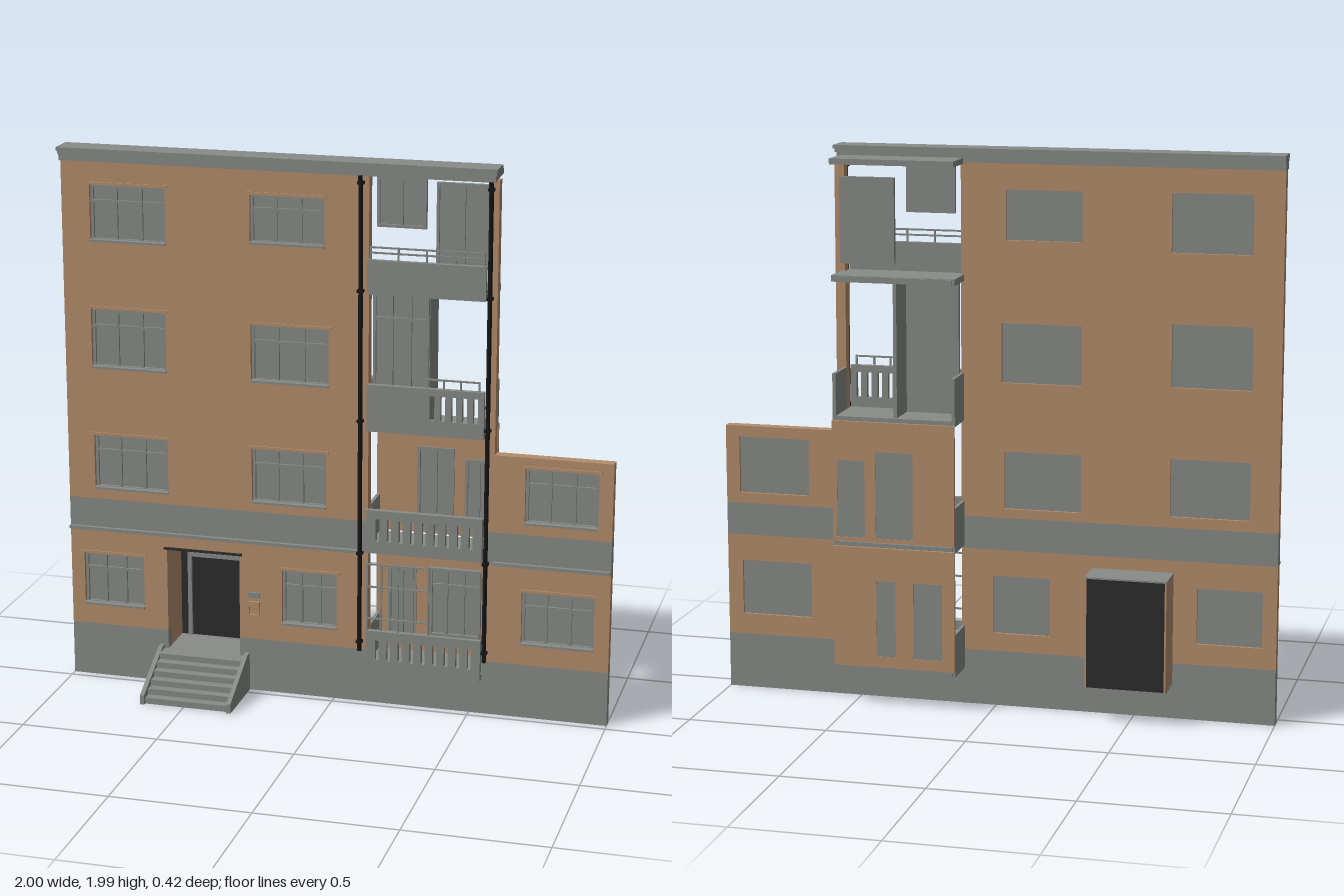
import * as THREE from 'three';

const material = (name, color, side = THREE.FrontSide) => {
  const m = new THREE.MeshStandardMaterial({ color, side });
  m.name = name;
  return m;
};

export function createModel() {
  const root = new THREE.Group();
  root.name = 'apartmentFacade';
  const brick = material('brick', 0xb58e6d);
  const grey = material('concreteGrey', 0x888c87);
  const dark = material('doorDark', 0x2d2d2d);
  const black = material('pipeBlack', 0x171717);

  const group = (name, parent = root) => {
    const g = new THREE.Group();
    g.name = name;
    parent.add(g);
    return g;
  };
  // Box given by its limits on each axis
  const box = (name, [x0, x1], [y0, y1], [z0, z1], mat, parent = root) => {
    const m = new THREE.Mesh(new THREE.BoxGeometry(x1 - x0, y1 - y0, z1 - z0), mat);
    m.position.set((x0 + x1) / 2, (y0 + y1) / 2, (z0 + z1) / 2);
    m.name = name;
    parent.add(m);
    return m;
  };
  const rect = (P, [x0, x1, y0, y1]) => {
    const p = new P();
    p.moveTo(x0, y0);
    p.lineTo(x1, y0);
    p.lineTo(x1, y1);
    p.lineTo(x0, y1);
    p.closePath();
    return p;
  };
  // Upright slab with rectangular holes, facing +z
  const slab = (name, area, holes, z0, z1, mat, parent = root) => {
    const s = rect(THREE.Shape, area);
    holes.forEach(h => s.holes.push(rect(THREE.Path, h)));
    const m = new THREE.Mesh(
      new THREE.ExtrudeGeometry(s, { depth: z1 - z0, bevelEnabled: false }), mat);
    m.position.z = z0;
    m.name = name;
    parent.add(m);
  };

  const BACK = -0.07, FRONT = -0.03, L = 0.125, R = 0.545;
  const door = [-0.63, -0.355];

  // Windows: x0, x1, y0, y1
  const mainWindows = [
    [-0.895, -0.615, 1.645, 1.85], [-0.305, -0.035, 1.67, 1.845],
    [-0.9, -0.62, 1.18, 1.4], [-0.305, -0.02, 1.17, 1.38],
    [-0.9, -0.62, 0.725, 0.93], [-0.305, -0.03, 0.72, 0.925]];
  const groundWindows = [[-0.95, -0.72, 0.275, 0.475], [-0.195, 0.01, 0.265, 0.475]];
  const wingWindows = [[0.69, 0.95, 0.725, 0.93], [0.685, 0.945, 0.275, 0.475]];

  // Walls, in horizontal bands
  const walls = group('walls');
  const wall = (name, area, mat, holes = []) => slab(name, area, holes, BACK, FRONT, mat, walls);
  wall('plinth', [-1, 1, 0, 0.13], grey);
  [[-1, door[0]], [door[1], L], [R, 1]].forEach(x => wall('plinthTop', [...x, 0.13, 0.2], grey));
  wall('groundWall', [-1, door[0], 0.2, 0.57], brick, [groundWindows[0]]);
  wall('overDoorWall', [...door, 0.52, 0.57], brick);
  wall('groundWall', [door[1], L, 0.2, 0.57], brick, [groundWindows[1]]);
  wall('wingGroundWall', [R, 1, 0.2, 0.57], brick, [wingWindows[1]]);
  wall('greyBand', [-1, L, 0.57, 0.687], grey);
  wall('wingGreyBand', [R, 1, 0.57, 0.687], grey);
  wall('upperWall', [-1, L, 0.687, 1.94], brick, mainWindows);
  wall('wingUpperWall', [0.58, 1, 0.687, 0.97], brick, [wingWindows[0]]);
  wall('pillar', [R, 0.58, 0.687, 1.94], brick);
  [[-1, 0.09], [0.58, 1]].forEach(x => box('stringCourse', x, [0.567, 0.579], [FRONT, -0.016], grey, walls));

  // Glazed panel with frame and mullions
  const glazed = (name, [x0, x1, y0, y1], z, cols, transom) => {
    const g = group(name);
    const t = 0.01, w = x1 - x0, h = y1 - y0;
    box('glass', [x0, x1], [y0, y1], [z - 0.006, z], grey, g);
    slab('frame', [x0, x1, y0, y1], [[x0 + t, x1 - t, y0 + t, y1 - t]], z, z + 0.01, grey, g);
    for (let i = 1; i < cols; i++) {
      const x = x0 + w * i / cols;
      box('mullion', [x - 0.005, x + 0.005], [y0 + t, y1 - t], [z, z + 0.009], grey, g);
    }
    if (transom) {
      const y = y0 + h * transom;
      box('transom', [x0 + t, x1 - t], [y - 0.005, y + 0.005], [z, z + 0.008], grey, g);
    }
    return g;
  };
  [...mainWindows, ...groundWindows, ...wingWindows].forEach(w => {
    const g = glazed('window', w, -0.054, 3, 0.7);
    box('sill', [w[0], w[1]], [w[2], w[2] + 0.008], [-0.044, -0.022], grey, g);
    box('lintel', [w[0] - 0.01, w[1] + 0.01], [w[3], w[3] + 0.01], [FRONT, -0.025], brick, g);
  });

  // Stepped cornice
  const cornice = group('cornice');
  box('corniceLower', [-1, 0.57], [1.935, 1.96], [-0.075, -0.012], grey, cornice);
  box('corniceMiddle', [-1, 0.575], [1.96, 1.972], [-0.08, -0.002], grey, cornice);
  box('corniceTop', [-1, 0.58], [1.972, 1.985], [-0.088, 0.012], grey, cornice);

  // Entrance recess
  const entry = group('entrance');
  box('recessBack', door, [0.13, 0.52], [-0.2, -0.19], dark, entry);
  [[door[0] - 0.006, door[0]], [door[1], door[1] + 0.006]].forEach(x =>
    box('recessSide', x, [0.13, 0.52], [-0.2, BACK], brick, entry));
  box('recessTop', [-0.637, -0.348], [0.52, 0.526], [-0.2, BACK], grey, entry);
  box('recessFloor', [-0.637, -0.348], [0.124, 0.13], [-0.2, BACK], grey, entry);
  box('doorHead', [-0.64, -0.345], [0.515, 0.523], [FRONT, -0.022], dark, entry);
  slab('doorFrame', [-0.602, -0.385, 0.13, 0.456], [[-0.587, -0.4, 0.131, 0.44]], -0.19, -0.18, grey, entry);
  slab('intercomFrame', [-0.322, -0.278, 0.29, 0.345], [[-0.316, -0.284, 0.296, 0.326]], FRONT, -0.02, brick, entry);
  box('intercomPlate', [-0.32, -0.28], [0.36, 0.38], [FRONT, -0.022], grey, entry);

  // Stairs with sloping cheeks
  const stairs = group('stairs');
  const steps = 6;
  for (let i = 0; i < steps; i++) {
    box('step', [-0.645, -0.335], [0, 0.13 - i * 0.0215], [FRONT, 0.03 + i * 0.034], grey, stairs);
  }
  const cheek = new THREE.Shape([[0.03, 0], [0.03, 0.145], [0, 0.142], [-0.212, 0.035], [-0.212, 0]]
    .map(p => new THREE.Vector2(...p)));
  const cheekGeo = new THREE.ExtrudeGeometry(cheek, { depth: 0.016, bevelEnabled: false });
  [-0.661, -0.335].forEach(x => {
    const m = new THREE.Mesh(cheekGeo, grey);
    m.rotation.y = Math.PI / 2;
    m.position.x = x;
    m.name = 'stairCheek';
    stairs.add(m);
  });

  // Balconies: parapet y0, y1, slot rows, side parapets
  const balconies = group('balconies');
  const slotRow = (n, x0, x1, w, y0, y1) => Array.from({ length: n }, (_, i) => {
    const x = x0 + (x1 - x0) * i / (n - 1);
    return [x - w / 2, x + w / 2, y0, y1];
  });
  [
    [0.13, 0.285, slotRow(9, 0.167, 0.505, 0.014, 0.175, 0.25), true],
    [0.58, 0.74, slotRow(9, 0.167, 0.505, 0.014, 0.625, 0.708), true],
    [1.03, 1.2, slotRow(5, 0.36, 0.515, 0.017, 1.085, 1.175), true],
    [1.523, 1.645, [], false],
  ].forEach(([y0, y1, slots, sides], i) => {
    const g = group('balcony' + (i + 1), balconies);
    slab('parapet', [L, R, y0, y1], slots, -0.02, 0, grey, g);
    box('floor', [L, R], [y0, y0 + 0.02], [-0.2, -0.02], grey, g);
    if (sides) [[0.115, 0.127], [0.545, 0.557]].forEach(x =>
      box('sideParapet', x, [y0, y1], [-0.197, BACK], grey, g));
    else box('floorEdge', [0.115, 0.557], [y0, y0 + 0.022], [-0.195, BACK], grey, g);
  });
  box('loggiaRoof', [0.115, 0.557], [1.93, 1.95], [-0.205, BACK], grey, balconies);

  // Loggia back walls with tall windows
  const backWalls = [
    [[0.115, 0.557, 0.15, 0.585], [[0.16, 0.265, 0.19, 0.465], [0.33, 0.4, 0.19, 0.465]]],
    [[0.115, 0.557, 0.605, 1.035], [[0.265, 0.4, 0.62, 0.93], [0.44, 0.54, 0.62, 0.895]]],
  ];
  backWalls.forEach(([area, holes]) => {
    slab('loggiaBackWall', area, holes, -0.21, -0.198, brick);
    holes.forEach(h => glazed('loggiaWindow', h, -0.202, 2, 0));
  });

  // Glazing panels on the balconies
  glazed('lowerGlazing', [0.355, 0.54, 0.285, 0.54], -0.025, 3, 0.75);
  glazed('thirdFloorGlazing', [0.135, 0.335, 1.05, 1.523], -0.06, 3, 0.8);
  box('thirdFloorScreen', [0.325, 0.337], [1.05, 1.523], [-0.19, -0.06], grey);
  glazed('topFrontGlazing', [0.15, 0.325, 1.755, 1.93], -0.05, 2, 0);
  glazed('topBackGlazing', [0.325, 0.52, 1.59, 1.89], -0.202, 2, 0);

  // Railings
  const railing = (name, xs, [y0, y1], rails) => {
    const g = group(name);
    const r = 0.003;
    xs.forEach(x => box('post', [x - r, x + r], [y0, y1], [-0.013, -0.007], grey, g));
    rails.forEach(y => box('rail', [xs[0], xs[xs.length - 1]], [y - r, y + r], [-0.013, -0.007], grey, g));
  };
  railing('lowerGrille', [0.128, 0.18, 0.24, 0.295, 0.352], [0.285, 0.54], [0.33, 0.45, 0.535]);
  railing('thirdFloorRailing', [0.342, 0.4, 0.46, 0.525], [1.2, 1.235], [1.232]);
  railing('topRailing', [0.137, 0.235, 0.335, 0.435, 0.535], [1.645, 1.692], [1.67, 1.689]);

  // Drainpipes with brackets and a bend under the cornice
  [0.098, 0.555].forEach(x => {
    const g = group('drainpipe');
    const path = new THREE.CatmullRomCurve3([[0.2, -0.017], [0.3, -0.017], [1.88, -0.017], [1.91, -0.015], [1.94, -0.008]]
      .map(([y, z]) => new THREE.Vector3(x, y, z)), false, 'centripetal');
    const pipe = new THREE.Mesh(new THREE.TubeGeometry(path, 40, 0.008, 10), black);
    pipe.name = 'pipe';
    g.add(pipe);
    [0.235, 0.57, 1.06, 1.53, 1.91].forEach(y =>
      box('bracket', [x - 0.011, x + 0.011], [y - 0.005, y + 0.005], [FRONT, -0.007], black, g));
  });

  return root;
}
